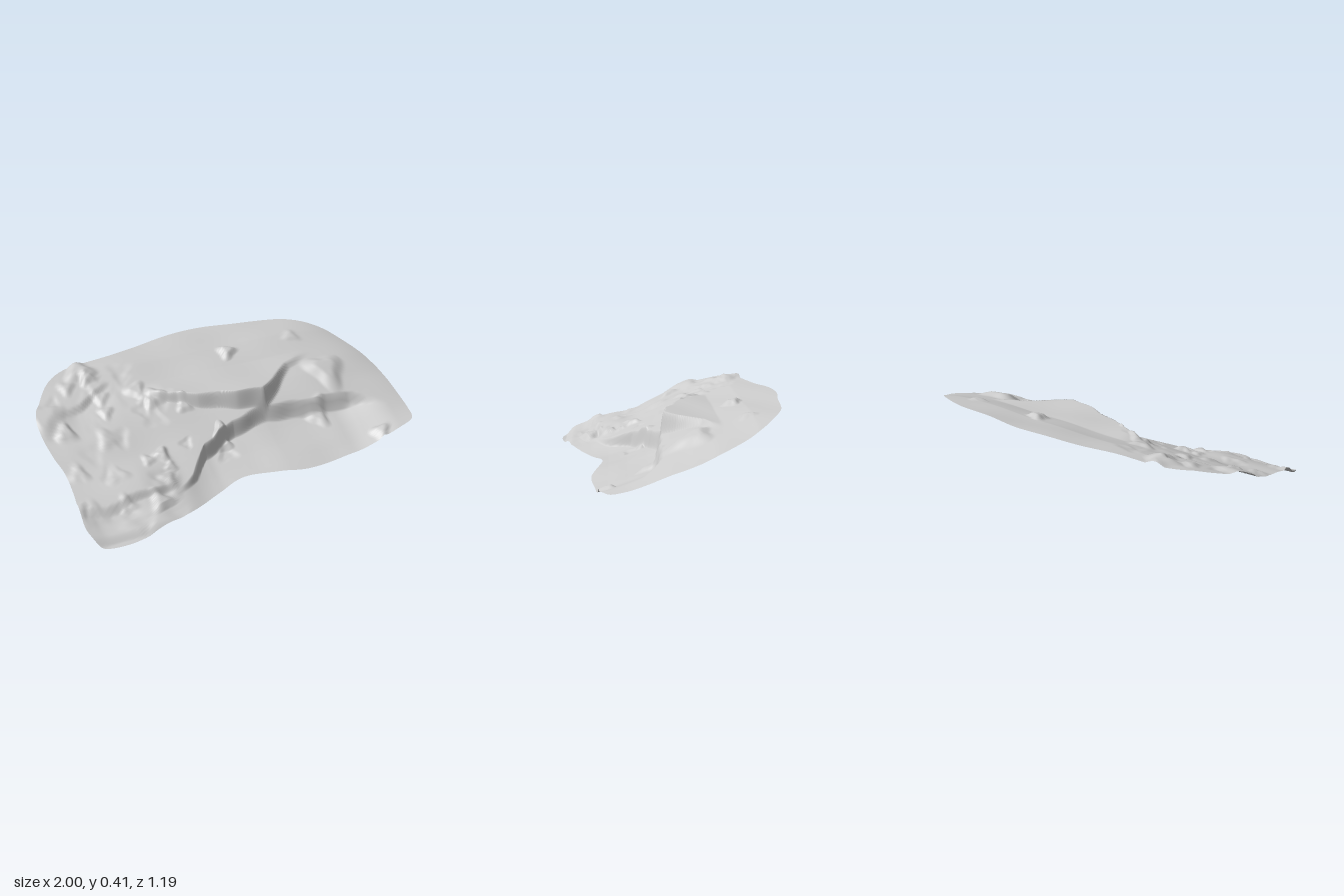
import * as THREE from 'three';

// Outline of the slab seen from above, as (x, z)
const OUTLINE = [
  [-1, -0.15], [-0.95, -0.28], [-0.88, -0.39], [-0.77, -0.47], [-0.5, -0.51], [-0.18, -0.575],
  [0.05, -0.595], [0.25, -0.57], [0.55, -0.535], [0.75, -0.43], [0.87, -0.29], [0.95, -0.13],
  [0.985, 0.05], [0.998, 0.22], [0.985, 0.28], [0.9, 0.315], [0.78, 0.338], [0.55, 0.36],
  [0.3, 0.385], [0.15, 0.36], [-0.05, 0.335], [-0.22, 0.4], [-0.4, 0.5], [-0.57, 0.55],
  [-0.75, 0.59], [-0.87, 0.572], [-0.92, 0.5], [-0.93, 0.4], [-0.935, 0.15], [-0.97, 0.04],
];

// Height of the slope as a function of z
const SLOPE = [
  [-0.6, 0.408], [-0.4, 0.375], [-0.2, 0.313], [-0.1, 0.275], [0, 0.23], [0.1, 0.18],
  [0.2, 0.135], [0.3, 0.095], [0.4, 0.06], [0.5, 0.03], [0.6, 0],
];

// The upper bed ends in a lip of level height along this line (x, z)
const LIP_HEIGHT = 0.33;
const LIP = [[-0.45, -0.2], [-0.3, -0.12], [-0.15, -0.06], [0.05, 0], [0.2, 0.025], [0.3, -0.05], [0.42, -0.17], [0.62, -0.25]];

// Ledges: the ground drops in front of each line (x, z)
const LEDGES = [
  { drop: 0.085, fade: 0.65, taper: 0.3, line: [[-0.45, 0.4], [-0.3, 0.3], [-0.2, 0.17], [0, 0.08], [0.2, 0.035], [0.5, 0.06], [0.7, 0.06], [0.9, 0.14]] },
  { drop: 0.03, fade: 0.25, taper: 0.15, line: [[-0.98, 0.4], [-0.8, 0.41], [-0.6, 0.36], [-0.35, 0.35]] },
  { drop: 0.025, fade: 0.1, taper: 0.12, line: [[-0.9, -0.15], [-0.75, -0.2], [-0.55, -0.32]] },
];

function interpolate(points, x) {
  let i = 0;
  while (i < points.length - 2 && x > points[i + 1][0]) i++;
  const [a, b] = [points[i], points[i + 1]];
  const t = THREE.MathUtils.clamp((x - a[0]) / (b[0] - a[0]), 0, 1);
  return a[1] + (b[1] - a[1]) * t;
}

function seeded(seed) {
  return () => (seed = (seed * 16807) % 2147483647) / 2147483647;
}

// Loose stones and dents, denser on the rough left-hand side
function makeStones() {
  const rand = seeded(4127);
  const stones = [
    { x: 0.13, z: -0.35, r: 0.05, h: 0.025 }, { x: -0.08, z: 0.11, r: 0.05, h: 0.02 },
    { x: 0.5, z: 0.09, r: 0.06, h: 0.02 }, { x: 0.78, z: 0.3, r: 0.05, h: 0.02 },
    { x: -0.52, z: 0.41, r: 0.06, h: 0.025 }, { x: -0.96, z: -0.17, r: 0.1, h: 0.02 },
    { x: -0.7, z: -0.43, r: 0.08, h: 0.025 }, { x: 0.63, z: -0.1, r: 0.11, h: 0.03 },
  ];
  for (let i = 0; i < 50; i++) {
    stones.push({
      x: -0.95 + rand() * (i < 42 ? 0.6 : 1.8), z: -0.45 + rand() * 0.97,
      r: 0.03 + rand() * 0.04, h: (rand() - 0.3) * 0.03,
    });
  }
  return stones;
}

const smooth = THREE.MathUtils.smoothstep;
const stones = makeStones();

// 1 along the middle of a line, easing to 0 at its two ends
function along(line, x, taper) {
  const x0 = line[0][0], x1 = line[line.length - 1][0];
  return smooth(x, x0, x0 + taper) * (1 - smooth(x, x1 - taper, x1));
}

function groundHeight(x, z) {
  let y = interpolate(SLOPE, z);
  const wobble = 0.004 * Math.sin(x * 31);
  // upper bed held level up to its lip
  const behind = 1 - smooth(z - interpolate(LIP, x) - wobble, -0.012, 0.014);
  y += Math.max(0, LIP_HEIGHT - y) * behind * along(LIP, x, 0.15);
  // domed front left lobe
  y += 0.035 * (1 - smooth(x, -0.6, -0.35)) * smooth(z, 0.12, 0.32) * (1 - smooth(z, 0.52, 0.59));
  // rounded fall towards the right-hand end
  if (x > 0.5) y -= 0.65 * (x - 0.5) ** 2 * Math.max(0, 0.3 - z);
  for (const { drop, fade, taper, line } of LEDGES) {
    const d = z - interpolate(line, x) - wobble;
    y -= drop * along(line, x, taper) * smooth(d, -0.014, 0.014) * Math.exp(-Math.max(0, d) / fade);
  }
  for (const s of stones) {
    const dx = x - s.x, dz = z - s.z;
    // uneven, angular footprint
    const q = Math.hypot(dx, dz) / s.r * (1 + 0.25 * Math.sin(3 * Math.atan2(dz, dx) + s.x * 40));
    if (q < 1) y += s.h * Math.min(1, (1 - q) * 1.8);
  }
  // gentle unevenness
  y += 0.004 * Math.sin(x * 11 + z * 7) * Math.cos(z * 13 - x * 4);
  return Math.max(0.003, y);
}

export function createModel() {
  const group = new THREE.Group();
  group.name = 'rockSlab';

  const curve = new THREE.CatmullRomCurve3(OUTLINE.map(([x, z]) => new THREE.Vector3(x, 0, z)), true);
  const around = 280, rings = 100;
  const rim = curve.getSpacedPoints(around);
  const cx = -0.1, cz = 0;

  // Rings from the middle out to the rim, draped over the ground height
  const positions = [cx, groundHeight(cx, cz), cz];
  const index = [];
  const at = (ring, j) => (ring === 0 ? 0 : 1 + (ring - 1) * around + (j % around));
  for (let i = 1; i <= rings; i++) {
    for (let j = 0; j < around; j++) {
      const x = cx + (rim[j].x - cx) * i / rings;
      const z = cz + (rim[j].z - cz) * i / rings;
      positions.push(x, groundHeight(x, z), z);
    }
  }
  for (let i = 0; i < rings; i++) {
    for (let j = 0; j < around; j++) {
      const a = at(i, j), b = at(i, j + 1), c = at(i + 1, j), d = at(i + 1, j + 1);
      index.push(a, d, c);
      if (i > 0) index.push(a, b, d);
    }
  }
  const geometry = new THREE.BufferGeometry();
  geometry.setAttribute('position', new THREE.Float32BufferAttribute(positions, 3));
  geometry.setIndex(index);
  geometry.computeVertexNormals();

  const slab = new THREE.Mesh(geometry, new THREE.MeshStandardMaterial({ color: 0xcccccc, side: THREE.DoubleSide }));
  slab.name = 'rockSurface';
  group.add(slab);
  return group;
}
